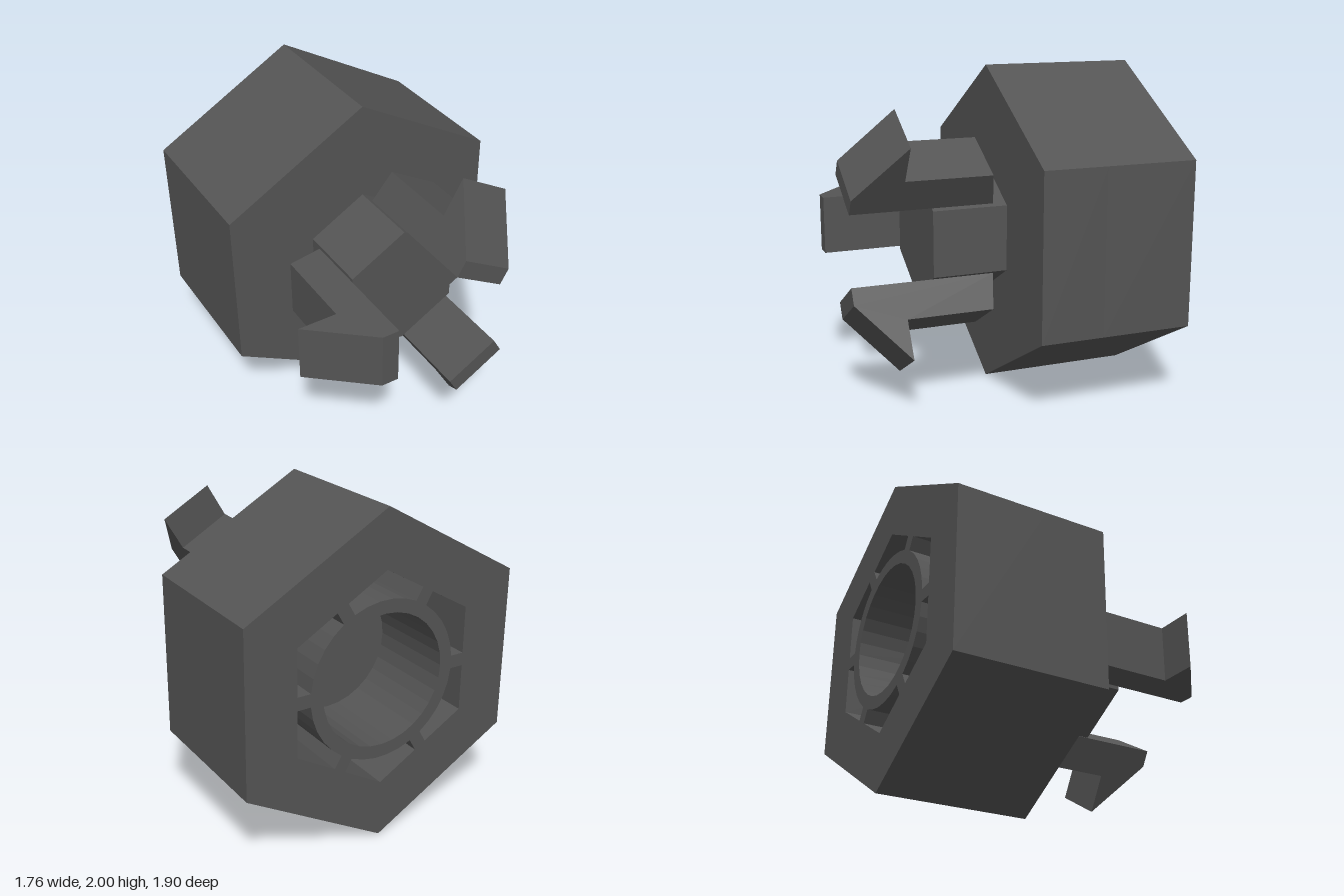
import * as THREE from 'three';

const polar = (r, a) => new THREE.Vector2(r * Math.cos(a), r * Math.sin(a));
const SIXTH = Math.PI / 3;

// Hexagon with a corner pointing up
function hexagon(radius, halfWidth) {
  const points = [];
  for (let i = 0; i < 6; i++) {
    const p = polar(radius, Math.PI / 2 + i * SIXTH);
    p.x *= halfWidth / (radius * Math.cos(Math.PI / 6));
    points.push(p);
  }
  return new THREE.Shape(points);
}

// Recess between the outer shell, the bore ring and two ribs
function pocket(angle, hexRadius, ringRadius, halfRib) {
  const apothem = hexRadius * Math.cos(Math.PI / 6);
  const out = Math.atan2(halfRib, apothem);
  const reach = Math.hypot(apothem, halfRib);
  const sweep = Math.PI / 6 - Math.asin(halfRib / ringRadius);
  const points = [
    polar(reach, angle - Math.PI / 6 + out),
    polar(hexRadius, angle),
    polar(reach, angle + Math.PI / 6 - out),
  ];
  for (let i = 0; i <= 5; i++) points.push(polar(ringRadius, angle + sweep * (1 - 2 * i / 5)));
  return new THREE.Path(points);
}

// Extrude a shape between two z positions
function slab(shape, z0, z1) {
  return new THREE.ExtrudeGeometry(shape, { depth: z1 - z0, bevelEnabled: false, curveSegments: 32 }).translate(0, 0, z0);
}

export function createModel() {
  const group = new THREE.Group();
  const plastic = new THREE.MeshStandardMaterial({ color: 0x545454 });
  plastic.name = 'dark grey plastic';

  const add = (name, geometry) => {
    const mesh = new THREE.Mesh(geometry, plastic);
    mesh.name = name;
    mesh.position.y = 1;
    group.add(mesh);
    return mesh;
  };

  // Solid front of the body, also the floor of the recesses
  const floorZ = -0.39;
  add('bodyFront', slab(hexagon(1, 0.88), floorZ, 0));

  // Hollow rear with bore, ring and six ribs
  const rear = hexagon(1, 0.88);
  const bore = [];
  for (let i = 0; i < 32; i++) bore.push(polar(0.4, i * Math.PI / 16));
  rear.holes.push(new THREE.Path(bore));
  for (let i = 0; i < 6; i++) rear.holes.push(pocket(Math.PI / 2 + i * SIXTH, 0.65, 0.48, 0.04));
  add('bodyRear', slab(rear, -0.95, floorZ));

  // Centre boss that carries the clips
  add('boss', slab(hexagon(0.4, 0.35), 0, 0.46));

  // Three barbed snap clips; the profile is radius against z
  const profile = new THREE.Shape([
    [0.35, 0.08], [0.57, 0.12], [0.57, 0.65], [0.81, 0.65], [0.455, 0.95], [0.35, 0.95],
  ].map(([r, z]) => new THREE.Vector2(r, z)));
  const clip = slab(profile, -0.178, 0.178).rotateX(Math.PI / 2);
  [['clipRight', Math.PI], ['clipUpper', SIXTH], ['clipLower', -SIXTH]].forEach(([name, angle]) => {
    add(name, clip).rotation.z = angle;
  });

  return group;
}
